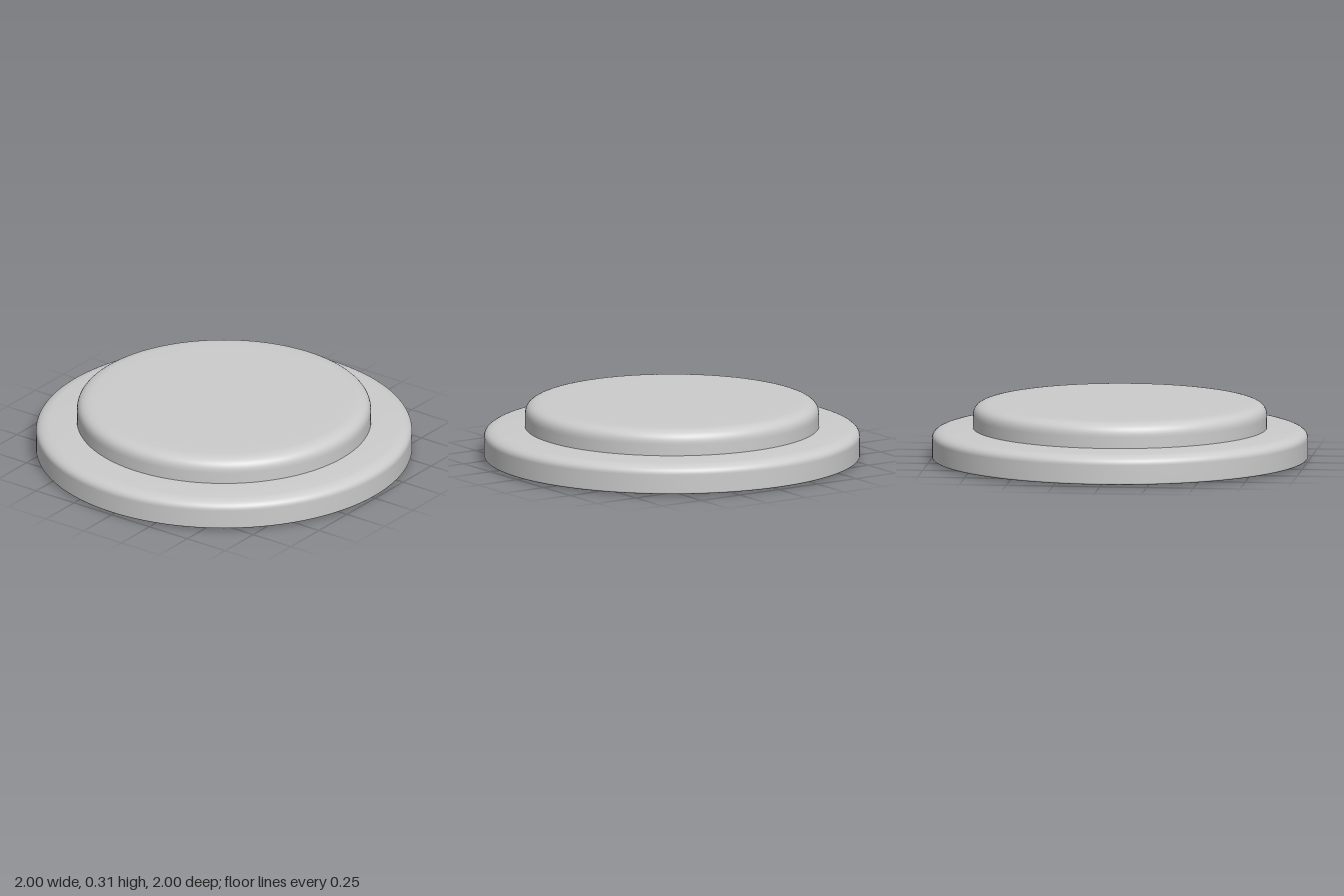
import * as THREE from 'three';

const material = new THREE.MeshStandardMaterial({ color: 0xcccccc });

// Turns a profile (bottom to top) around the y axis
function turned(name, path) {
  const mesh = new THREE.Mesh(new THREE.LatheGeometry(path.getPoints(10), 128), material);
  mesh.name = name;
  return mesh;
}

export function createModel() {
  const group = new THREE.Group();
  group.name = 'steppedDisc';

  // Wide lower disc: barely domed underside, rounded shoulder, gently sloping top
  const base = new THREE.Path();
  base.moveTo(0, 0);
  base.lineTo(0.34, 0.001);
  base.lineTo(0.9, 0.007);
  base.lineTo(0.985, 0.01);
  base.quadraticCurveTo(1, 0.01, 1, 0.02);
  base.lineTo(1, 0.115);
  base.bezierCurveTo(1, 0.145, 0.975, 0.16, 0.93, 0.166);
  base.lineTo(0.84, 0.172);
  base.lineTo(0.76, 0.175);
  base.lineTo(0, 0.175);
  group.add(turned('base', base));

  // Narrower raised disc with a rounded rim
  const cap = new THREE.Path();
  cap.moveTo(0.782, 0.165);
  cap.lineTo(0.782, 0.235);
  cap.bezierCurveTo(0.782, 0.285, 0.755, 0.305, 0.69, 0.308);
  cap.lineTo(0.6, 0.31);
  cap.lineTo(0, 0.31);
  group.add(turned('raisedCap', cap));

  return group;
}
